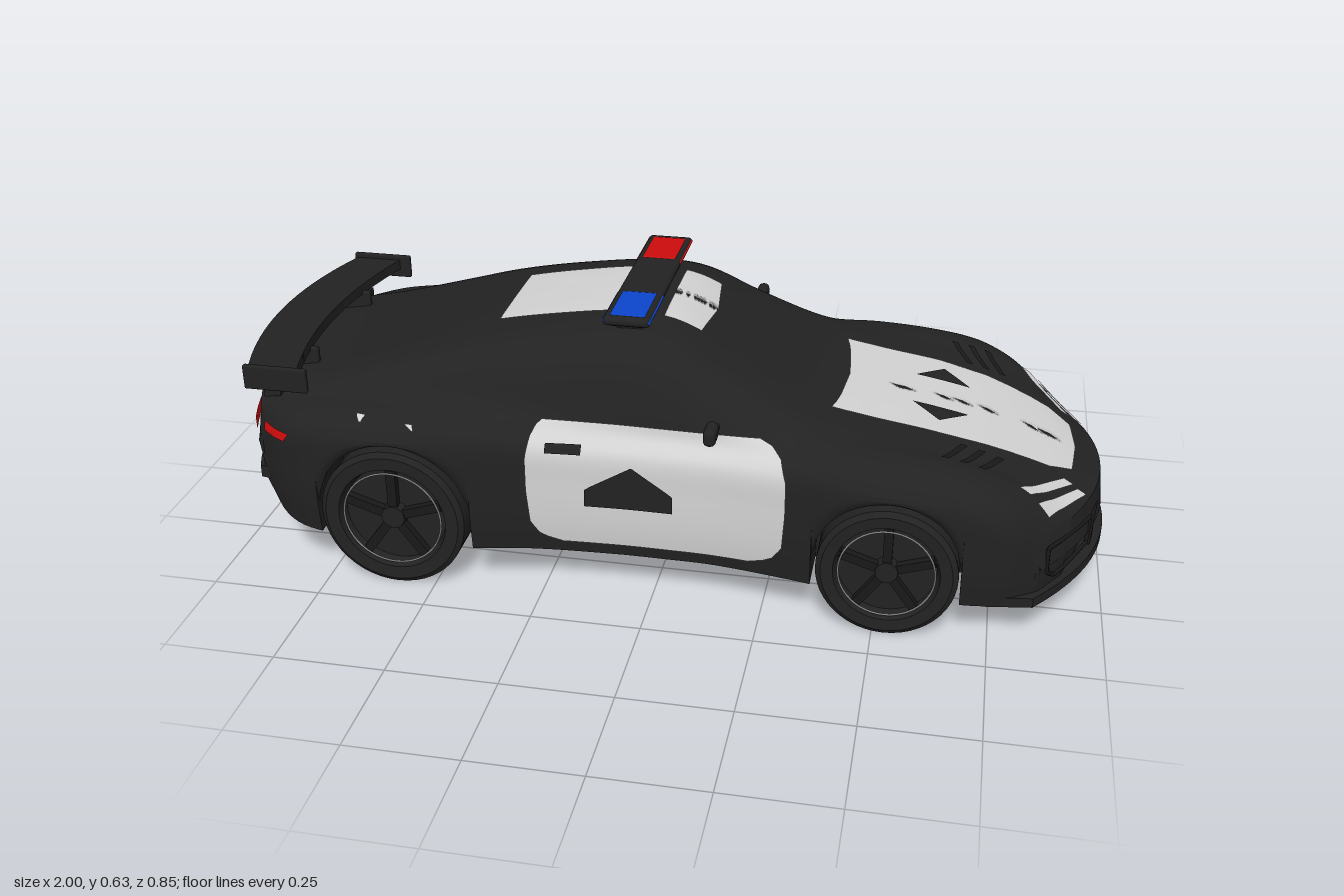
import * as THREE from 'three';
import { toCreasedNormals } from 'three/addons/utils/BufferGeometryUtils.js';
import { RoundedBoxGeometry } from 'three/addons/geometries/RoundedBoxGeometry.js';

const paint = (name, color) => new THREE.MeshStandardMaterial({ name, color, side: THREE.DoubleSide });

// Wheels: centre x, radius
const WHEELS = [[-0.588, 0.168], [0.525, 0.154]];

// Body stations: x, half width, floor y, shoulder y, cabin half width, top y
const STATIONS = [
  [-0.98, 0.345, 0.19, 0.37, 0.28, 0.405],
  [-0.90, 0.385, 0.13, 0.385, 0.30, 0.415],
  [-0.78, 0.415, 0.11, 0.40, 0.31, 0.437],
  [-0.60, 0.418, 0.105, 0.415, 0.32, 0.492],
  [-0.45, 0.415, 0.10, 0.415, 0.325, 0.538],
  [-0.27, 0.385, 0.10, 0.405, 0.33, 0.575],
  [-0.085, 0.374, 0.10, 0.40, 0.33, 0.598],
  [0.02, 0.374, 0.10, 0.40, 0.333, 0.585],
  [0.145, 0.378, 0.10, 0.40, 0.337, 0.523],
  [0.33, 0.40, 0.095, 0.40, 0.34, 0.436],
  [0.44, 0.416, 0.09, 0.398, 0.33, 0.41],
  [0.60, 0.418, 0.09, 0.385, 0.32, 0.383],
  [0.72, 0.415, 0.088, 0.36, 0.31, 0.355],
  [0.866, 0.395, 0.086, 0.305, 0.30, 0.303],
  [0.98, 0.36, 0.086, 0.235, 0.28, 0.245],
];

// Smooth interpolation of the station table
function station(x) {
  const S = STATIONS, n = S.length;
  x = THREE.MathUtils.clamp(x, S[0][0], S[n - 1][0]);
  let i = 0;
  while (i < n - 2 && x > S[i + 1][0]) i++;
  const slope = (k, c) => {
    const a = S[Math.max(k - 1, 0)], b = S[Math.min(k + 1, n - 1)];
    return (b[c] - a[c]) / (b[0] - a[0]);
  };
  const h = S[i + 1][0] - S[i][0], t = (x - S[i][0]) / h, t2 = t * t, t3 = t2 * t;
  return [1, 2, 3, 4, 5].map(c => (2 * t3 - 3 * t2 + 1) * S[i][c] + (t3 - 2 * t2 + t) * h * slope(i, c)
    + (3 * t2 - 2 * t3) * S[i + 1][c] + (t3 - t2) * h * slope(i + 1, c));
}

// Both ends are bowed in plan: the sides sit further back than the middle
function bend(s, z) {
  const f = THREE.MathUtils.clamp((s - 0.62) / 0.36, 0, 1), r = THREE.MathUtils.clamp((-0.72 - s) / 0.26, 0, 1);
  return (0.07 * r * r - 0.14 * f * f) * (z / 0.36) ** 2;
}

// Half cross-section from floor centre, around the wheel arch, up to the roof centre
function half(s) {
  const [w, b, sh, g, top] = station(s);
  let yb = b;
  for (const [cx, r] of WHEELS) {
    const R = r + 0.012, d = s - cx;
    if (Math.abs(d) < R) yb = Math.max(yb, r + Math.sqrt(R * R - d * d));
  }
  const h = sh - 0.05 - yb, up = f => sh + (top - sh) * f;
  const c = [[w - 0.008, yb], [w, yb + 0.3 * h], [w, yb + 0.7 * h], [w - 0.006, sh - 0.045], [w - 0.035, sh - 0.008],
    [g, up(0.08) + 0.004], [g * 0.87, up(0.65)], [g * 0.74, up(0.88)], [g * 0.42, up(0.98)], [0, top]];
  const curve = new THREE.CatmullRomCurve3(c.map(p => new THREE.Vector3(p[0], p[1], 0)));
  return [[0, b], [0.28, b], [0.28, yb], ...curve.getPoints(36).map(p => [p.x, p.y])];
}

function bodyGeometry() {
  const xs = [];
  for (let i = 0; i <= 90; i++) xs.push(-0.98 + 1.96 * i / 90);
  for (const [cx, r] of WHEELS) for (const e of [-1, 1]) for (const d of [0.011, 0.0121]) xs.push(cx + e * (r + d));
  xs.sort((a, b) => a - b);
  const ring = (s, cap) => {
    const h = half(s), mid = (station(s)[1] + station(s)[4]) / 2;
    const loop = [...h, ...h.slice(1, -1).reverse().map(([z, y]) => [-z, y])];
    return loop.map(([z, y]) => [s + bend(s, z) + cap, cap ? mid : y, z]);
  };
  const rings = [ring(-0.98, -0.01), ...xs.map(s => ring(s, 0)), ring(0.98, 0.01)];
  const n = rings[0].length, index = [];
  for (let i = 0; i < rings.length - 1; i++) for (let j = 0; j < n; j++) {
    const a = i * n + j, b = i * n + (j + 1) % n;
    index.push(a, a + n, b + n, a, b + n, b);
  }
  const geo = new THREE.BufferGeometry();
  geo.setAttribute('position', new THREE.Float32BufferAttribute(rings.flat(2), 3));
  geo.setIndex(index);
  return toCreasedNormals(geo, 0.6);
}

// Body surface lookups: z at a height, y at a distance from the centre line
function crossing(pts, axis, v) {
  for (let i = 1; i < pts.length; i++) {
    const a = pts[i - 1], b = pts[i];
    if ((a[axis] - v) * (b[axis] - v) <= 0 && a[axis] !== b[axis])
      return a[1 - axis] + (b[1 - axis] - a[1 - axis]) * (v - a[axis]) / (b[axis] - a[axis]);
  }
  return pts[pts.length - 1][1 - axis];
}
const unbend = (x, z) => { let s = x; for (let i = 0; i < 8; i++) s = x - bend(s, z); return s; };
const onSide = (x, y, side, off) => {
  let z = 0.38;
  for (let i = 0; i < 3; i++) z = crossing(half(unbend(x, z)).slice(3), 1, y);
  return [x, y, side * (z + off)];
};
const onTop = (x, z, off) => [x, crossing(half(unbend(x, z)).slice(3).reverse(), 0, Math.abs(z)) + off, z];

// Thin painted panel following the body; rows are [v, xStart, xEnd]
function panelGeometry(rows, place, nu, nv) {
  const pos = [], index = [];
  for (let j = 0; j <= nv; j++) {
    const v = rows[0][0] + (rows[rows.length - 1][0] - rows[0][0]) * j / nv;
    let k = 0;
    while (k < rows.length - 2 && (v - rows[k + 1][0]) * Math.sign(rows[1][0] - rows[0][0]) > 0) k++;
    const A = rows[k], B = rows[k + 1], t = (v - A[0]) / (B[0] - A[0]);
    const x0 = A[1] + (B[1] - A[1]) * t, x1 = A[2] + (B[2] - A[2]) * t;
    for (let i = 0; i <= nu; i++) pos.push(...place(x0 + (x1 - x0) * i / nu, v));
  }
  for (let j = 0; j < nv; j++) for (let i = 0; i < nu; i++) {
    const a = j * (nu + 1) + i, b = a + nu + 1;
    index.push(a, a + 1, b + 1, a, b + 1, b);
  }
  const geo = new THREE.BufferGeometry();
  geo.setAttribute('position', new THREE.Float32BufferAttribute(pos, 3));
  geo.setIndex(index);
  geo.computeVertexNormals();
  return geo;
}

// Flat plate from a plan outline (x, z), hanging down from y = top
function plateGeometry(points, top, thick) {
  const shape = new THREE.Shape(points.map(p => new THREE.Vector2(...p)));
  return new THREE.ExtrudeGeometry(shape, { depth: thick, bevelEnabled: false }).rotateX(Math.PI / 2).translate(0, top, 0);
}

export function createModel() {
  const car = new THREE.Group();
  const black = paint('bodyBlack', 0x222222), dark = paint('trimBlack', 0x191919), white = paint('panelWhite', 0xd2d2d2);
  const red = paint('signalRed', 0xcc0c0c), blue = paint('signalBlue', 0x0c44cc), metal = paint('metalGrey', 0x808080);
  const add = (name, geo, mat, x = 0, y = 0, z = 0, parent = car) => {
    const m = new THREE.Mesh(geo, mat);
    m.name = name;
    m.position.set(x, y, z);
    parent.add(m);
    return m;
  };
  const box = (name, mat, x, y, z, w, h, d, r = 0.004) => add(name, new RoundedBoxGeometry(w, h, d, 2, r), mat, x, y, z);
  const side = (name, mat, sgn, rows, off = 0.005, nu = 28, nv = 28) => add(name, panelGeometry(rows, (x, y) => onSide(x, y, sgn, off), nu, nv), mat);
  const top = (name, mat, rows, off = 0.004, nu = 28, nv = 28) => add(name, panelGeometry(rows, (x, z) => onTop(x, z, off), nu, nv), mat);

  add('body', bodyGeometry(), black);

  // Wheels
  for (const [cx, r] of WHEELS) for (const s of [1, -1]) {
    const wheel = new THREE.Group();
    wheel.name = cx > 0 ? 'frontWheel' : 'rearWheel';
    wheel.position.set(cx, r, s * 0.36);
    if (s < 0) wheel.rotation.y = Math.PI;
    car.add(wheel);
    const profile = [[0, -0.065], [r - 0.01, -0.065], [r, -0.055], [r, 0.055], [r - 0.012, 0.064], [r * 0.75, 0.062], [r * 0.7, 0.03], [0, 0.03]];
    const tyre = new THREE.LatheGeometry(profile.map(p => new THREE.Vector2(...p)), 48).rotateX(Math.PI / 2);
    add('tyre', toCreasedNormals(tyre, 0.5), black, 0, 0, 0, wheel);
    add('rimRing', new THREE.TorusGeometry(r * 0.68, 0.0025, 6, 48), metal, 0, 0, 0.058, wheel);
    add('hub', new THREE.CylinderGeometry(r * 0.16, r * 0.18, 0.03, 20).rotateX(Math.PI / 2), black, 0, 0, 0.04, wheel);
    for (let i = 0; i < 5; i++)
      add('spoke', new THREE.BoxGeometry(r * 0.13, r * 0.68, 0.018).translate(0, r * 0.36, 0), dark, 0, 0, 0.042, wheel).rotation.z = i * Math.PI * 0.4;
  }

  // White doors, their badges, handles and mirrors
  for (const s of [1, -1]) {
    side('doorPanel', white, s, [[0.13, -0.2, 0.22], [0.145, -0.25, 0.27], [0.18, -0.273, 0.295], [0.26, -0.28, 0.3], [0.34, -0.28, 0.3],
      [0.385, -0.272, 0.285], [0.405, -0.262, 0.262], [0.415, -0.25, 0.235]]);
    side('doorHandle', black, s, [[0.355, -0.235, -0.155], [0.375, -0.235, -0.155]], 0.011, 4, 2);
    box('mirror', black, 0.135, 0.44, s * 0.388, 0.028, 0.04, 0.058, 0.012);
    box('mirrorStem', black, 0.135, 0.427, s * 0.35, 0.018, 0.014, 0.06);
    side('fenderMark', white, s, [[0.397, -0.655, -0.65], [0.408, -0.665, -0.645]], 0.006, 2, 2);
  }
  side('doorBadge', black, 1, [[0.23, -0.148, 0.05], [0.272, -0.148, 0.05], [0.332, -0.045, -0.04]], 0.009, 10, 10);
  side('doorBadgeUpper', black, -1, [[0.25, 0.0, 0.1], [0.27, -0.04, 0.102], [0.345, 0.105, 0.11]], 0.009, 8, 8);
  side('doorBadgeLower', black, -1, [[0.2, -0.15, 0.05], [0.215, -0.15, -0.02], [0.235, -0.15, -0.14]], 0.009, 8, 8);
  side('fenderMark', white, 1, [[0.39, -0.53, -0.527], [0.402, -0.55, -0.53]], 0.006, 2, 2);

  // White roof and bonnet panels
  top('rearRoofPanel', white, [[-0.138, -0.4, -0.13], [0.132, -0.4, -0.13]]);
  top('frontRoofPanel', white, [[-0.138, -0.015, 0.07], [0, -0.015, 0.085], [0.138, -0.015, 0.07]]);
  const edge = [[0.185, 0.372, 0.6], [0.175, 0.374, 0.72], [0.15, 0.38, 0.855], [0.11, 0.386, 0.91], [0, 0.395, 0.92]];
  top('bonnetPanel', white, [...edge.map(([z, a, b]) => [-z, a, b]), ...edge.slice(0, -1).reverse()], 0.004, 36, 40);

  for (const s of [1, -1]) {
    top('bonnetBadge', black, [[s * 0.07, 0.545, 0.672], [s * 0.132, 0.607, 0.61]], 0.008, 8, 6);
    // Headlight strips and bonnet louvres
    top('headlightUpper', white, [[s * 0.165, 0.89, 0.912], [s * 0.305, 0.79, 0.815]], 0.006, 4, 12);
    top('headlightLower', white, [[s * 0.17, 0.922, 0.942], [s * 0.31, 0.832, 0.858]], 0.006, 4, 12);
    for (let i = 0; i < 3; i++)
      top('louvre', dark, [[s * 0.21, 0.66 + i * 0.04, 0.675 + i * 0.04], [s * 0.3, 0.62 + i * 0.04, 0.635 + i * 0.04]], 0.004, 3, 8);
    // Tail lights wrapping round the corner
    side('tailLightSide', red, s, [[0.33, -0.905, -0.84], [0.35, -0.905, -0.825]], 0.006, 6, 3);
    add('tailLightRear', panelGeometry([[0.15, 0.335, 0.35], [0.25, 0.328, 0.355], [0.345, 0.325, 0.357]],
      (y, z) => [-0.99 + 0.07 * (z / 0.36) ** 2, y, s * z], 2, 10), red);
    // Rear wing ends and struts, exhaust tips
    box('wingEndPlate', black, -0.865, 0.46, s * 0.347, 0.15, 0.058, 0.014);
    box('wingStrut', black, -0.87, 0.425, s * 0.17, 0.07, 0.07, 0.016);
    add('exhaustTip', new THREE.CylinderGeometry(0.018, 0.018, 0.07, 20, 1, true).rotateZ(Math.PI / 2), metal, -0.945, 0.163, s * 0.035);
    // Light bar feet
    box('lightBarFoot', black, -0.08, 0.592, s * 0.178, 0.06, 0.045, 0.05);
    box('lightBarBracket', black, -0.08, 0.61, s * 0.178, 0.08, 0.01, 0.125);
  }

  // Bowed plates: wing blade, front splitter, rear bumper lip
  const bow = (x0, k, w) => Array.from({ length: 21 }, (_, i) => { const z = w * (i / 10 - 1); return [x0 + k * (z / w) ** 2, z]; });
  add('wingBlade', plateGeometry([...bow(-0.99, 0.06, 0.347), ...bow(-0.865, 0.05, 0.347).reverse()], 0.478, 0.025), black);
  add('frontSplitter', plateGeometry([...bow(1.0, -0.16, 0.385), [0.74, 0.4], [0.74, -0.4]], 0.108, 0.023), black);
  add('rearLip', plateGeometry([...bow(-1.0, 0.07, 0.345), [-0.85, 0.36], [-0.85, -0.36]], 0.23, 0.03), black);
  add('tailLip', plateGeometry([...bow(-0.985, 0.07, 0.31), [-0.88, 0.3], [-0.88, -0.3]], 0.412, 0.02), black);

  // Bumper intake frames and grilles
  const nose = (z, y) => new THREE.Vector3(0.988 - 0.14 * (z / 0.36) ** 2, y, z);
  const frame = (name, corners) => {
    const path = new THREE.CurvePath();
    corners.forEach(([z, y], i) => {
      const [z2, y2] = corners[(i + 1) % corners.length];
      path.add(new THREE.QuadraticBezierCurve3(nose(z, y), nose((z + z2) / 2, (y + y2) / 2), nose(z2, y2)));
    });
    add(name, new THREE.TubeGeometry(path, 80, 0.005, 6, true), dark);
  };
  frame('centreIntake', [[-0.15, 0.2], [0.15, 0.2], [0.165, 0.125], [-0.165, 0.125]]);
  for (const s of [1, -1]) frame('sideIntake', [[s * 0.17, 0.2], [s * 0.34, 0.21], [s * 0.34, 0.15], [s * 0.315, 0.13], [s * 0.18, 0.14]]);

  // Roof light bar
  box('lightBar', black, -0.077, 0.622, 0, 0.105, 0.02, 0.515, 0.009);
  box('blueLight', blue, -0.077, 0.624, 0.172, 0.082, 0.019, 0.14, 0.006);
  box('redLight', red, -0.077, 0.624, -0.172, 0.082, 0.019, 0.14, 0.006);
  box('blueLens', blue, -0.077, 0.623, 0.176, 0.108, 0.009, 0.158);
  box('redLens', red, -0.077, 0.623, -0.176, 0.108, 0.009, 0.158);
  return car;
}
